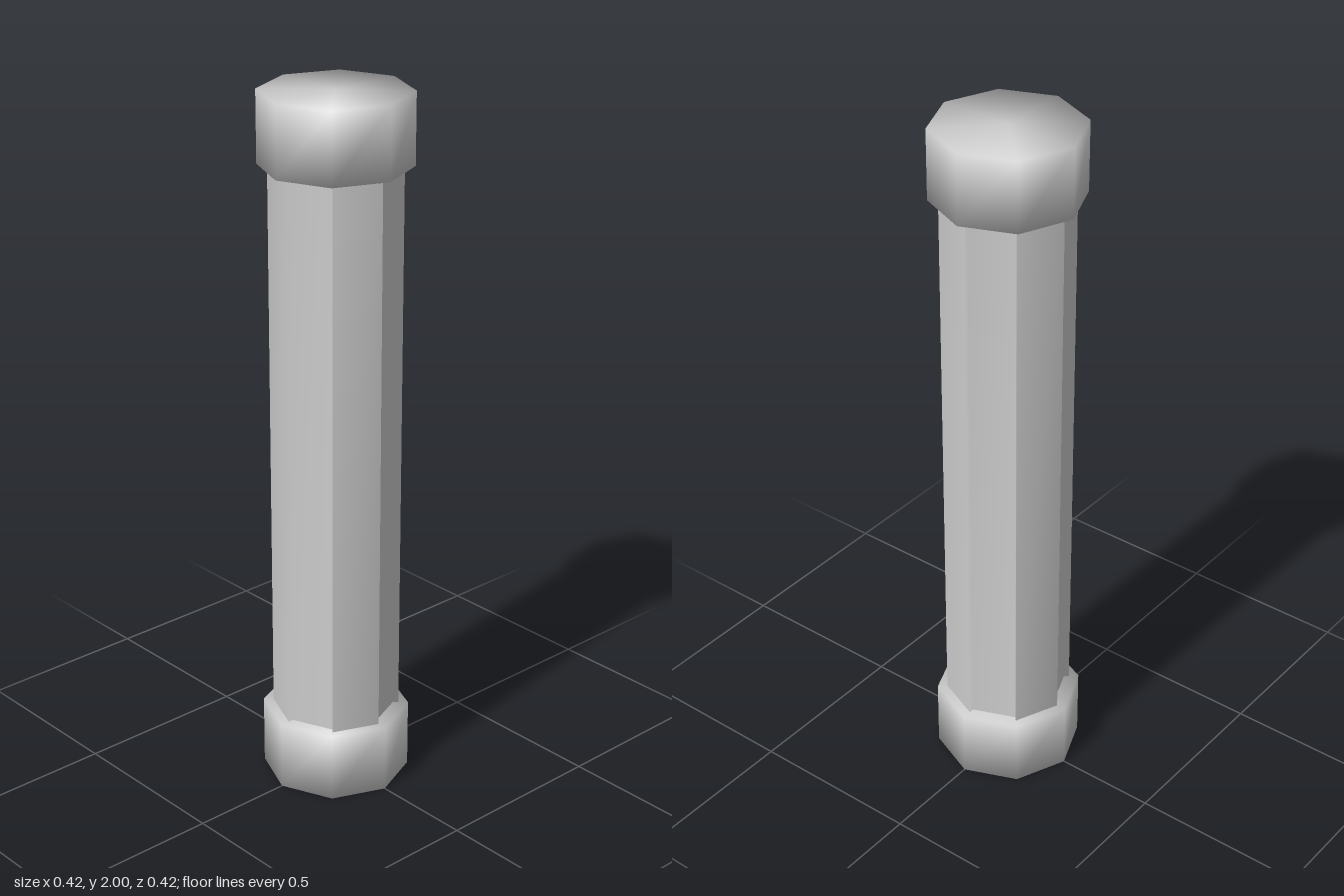
import * as THREE from 'three';
import { mergeVertices } from 'three/addons/utils/BufferGeometryUtils.js';

const material = new THREE.MeshStandardMaterial({ color: 0xcccccc });

// Weld a geometry so that its normals run smoothly over every edge
function smooth(geometry) {
  geometry.deleteAttribute('uv');
  geometry.deleteAttribute('normal');
  const welded = mergeVertices(geometry, 1e-4);
  welded.computeVertexNormals();
  return welded;
}

function addPart(group, name, geometry, y) {
  const mesh = new THREE.Mesh(smooth(geometry), material);
  mesh.name = name;
  mesh.position.y = y;
  group.add(mesh);
}

// Eight-sided shaft whose faces are alternately recessed and raised
function shaftGeometry() {
  const inner = 0.165, outer = 0.18;
  const geometry = new THREE.CylinderGeometry(1, 1, 1.6, 16, 1, true);
  const pos = geometry.attributes.position;
  for (let i = 0; i < pos.count; i++) {
    const step = Math.round(Math.atan2(pos.getX(i), pos.getZ(i)) / (Math.PI / 8) + 16) % 16;
    const radius = step % 4 < 2 ? inner : outer;
    // Pairs of points share an angle, making a radial wall between faces
    const angle = Math.ceil(step / 2) * Math.PI / 4;
    const corner = step % 2 === 0 ? step / 2 : (step + 1) / 2;
    const turn = [0, 1, 1, 2][step % 4] + Math.floor(step / 4) * 2;
    const a = corner === turn ? angle : turn * Math.PI / 4;
    pos.setX(i, radius * Math.sin(a));
    pos.setZ(i, radius * Math.cos(a));
  }
  return geometry;
}

export function createModel() {
  const group = new THREE.Group();
  group.name = 'column';
  addPart(group, 'shaft', shaftGeometry(), 1);
  // Matching octagonal blocks at both ends
  for (const [name, y] of [['base', 0.1], ['capital', 1.9]]) {
    addPart(group, name, new THREE.CylinderGeometry(0.208, 0.208, 0.2, 8), y);
  }
  return group;
}
